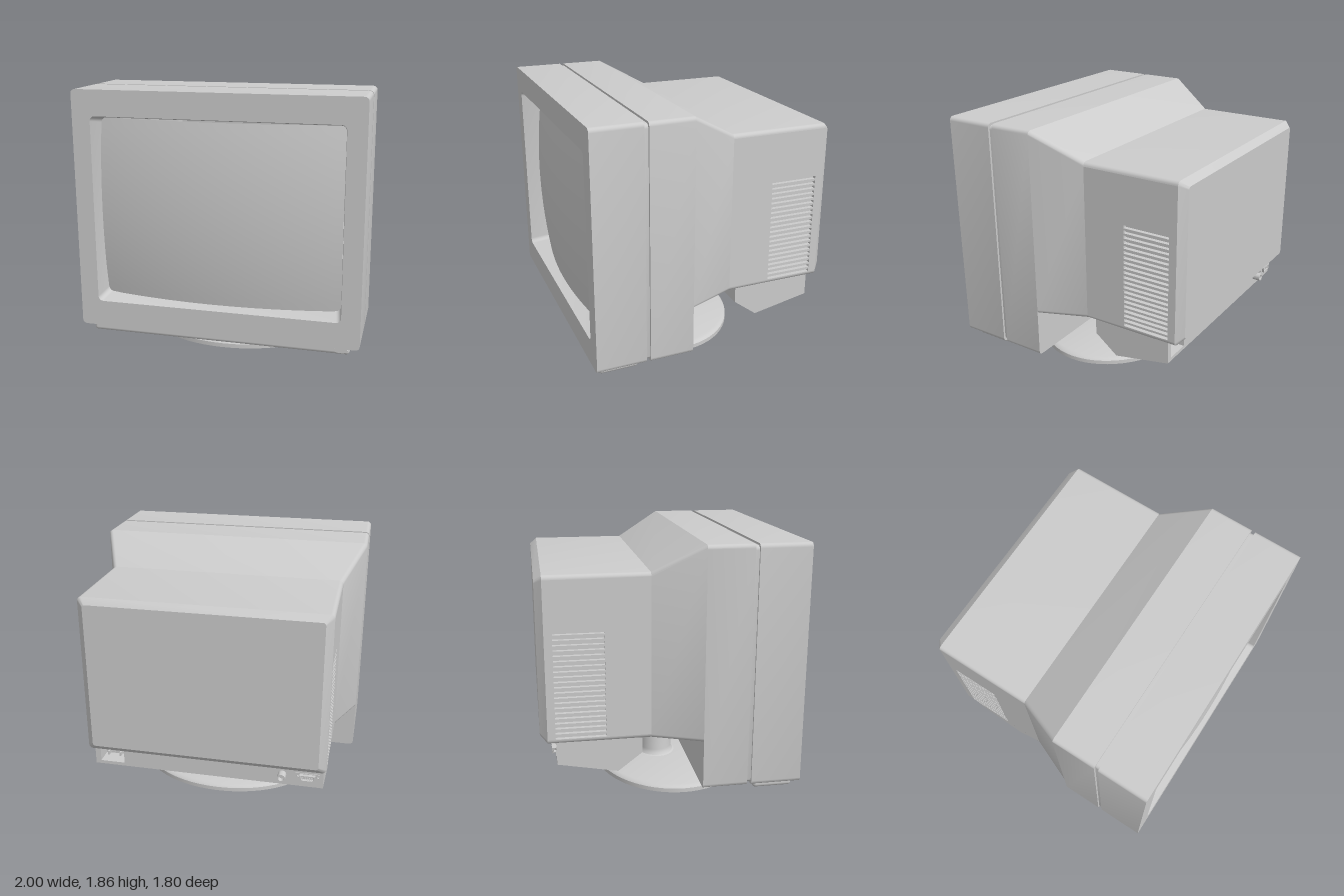
import * as THREE from 'three';
import { toCreasedNormals } from 'three/addons/utils/BufferGeometryUtils.js';
import { RoundedBoxGeometry } from 'three/addons/geometries/RoundedBoxGeometry.js';

const material = new THREE.MeshStandardMaterial({ color: 0xcccccc, side: THREE.DoubleSide });
const CORNER = 6; // segments per rounded corner

function add(parent, name, geometry, x = 0, y = 0, z = 0) {
  const mesh = new THREE.Mesh(geometry, material);
  mesh.name = name;
  mesh.position.set(x, y, z);
  parent.add(mesh);
  return mesh;
}

// Rounded rectangle outline, counterclockwise from the bottom right corner
function ring(hw, y0, y1, r) {
  const centres = [[hw - r, y0 + r], [hw - r, y1 - r], [r - hw, y1 - r], [r - hw, y0 + r]];
  return centres.flatMap(([cx, cy], k) => Array.from({ length: CORNER + 1 }, (_, i) => {
    const a = (k - 1 + i / CORNER) * Math.PI / 2;
    return new THREE.Vector2(cx + r * Math.cos(a), cy + r * Math.sin(a));
  }));
}

// Skin over sections { z, hw, y0, y1, r }; openSides leaves the flat flanks out
function loft(sections) {
  const pos = [], index = [], n = 4 * (CORNER + 1);
  sections.forEach((s, i) => {
    for (const p of ring(s.hw, s.y0, s.y1, s.r)) pos.push(p.x, p.y, s.z);
    if (i === sections.length - 1) return;
    for (let j = 0; j < n; j++) {
      if (s.openSides && (j === CORNER || j === 3 * CORNER + 2)) continue;
      const a = i * n + j, b = i * n + (j + 1) % n;
      index.push(a, a + n, b + n, a, b + n, b);
    }
  });
  const g = new THREE.BufferGeometry();
  g.setAttribute('position', new THREE.Float32BufferAttribute(pos, 3));
  g.setIndex(index);
  return toCreasedNormals(g, 0.5);
}

const section = (z, hw, y0, y1, r = 0.03, openSides = false) => ({ z, hw, y0, y1, r, openSides });
const polygon = (points) => new THREE.Shape(points.map(([x, y]) => new THREE.Vector2(x, y)));

// Extrude a side profile, drawn as (-z, y), from x0 to x1
function acrossX(shape, x0, x1) {
  const g = new THREE.ExtrudeGeometry(shape, { depth: x1 - x0, bevelEnabled: false });
  return g.rotateY(Math.PI / 2).translate(x0, 0, 0);
}

function rectPath(x0, y0, x1, y1) {
  return new THREE.Path([[x0, y0], [x1, y0], [x1, y1], [x0, y1]].map(([x, y]) => new THREE.Vector2(x, y)));
}

function buildCasing(group) {
  // Bezel, seam groove and tapering rear housing in one skin
  add(group, 'housing', loft([
    section(0.9, 1, 0.165, 1.86),
    section(0.545, 1, 0.165, 1.86),
    section(0.545, 0.985, 0.18, 1.845),
    section(0.515, 0.985, 0.18, 1.845),
    section(0.515, 1, 0.165, 1.86),
    section(0.2, 1, 0.165, 1.86),
    section(0.2, 1, 0.51, 1.86),
    section(-0.14, 0.86, 0.51, 1.67, 0.03, true),
    section(-0.85, 0.86, 0.51, 1.67),
    section(-0.9, 0.81, 0.56, 1.63, 0.02),
    section(-0.9, 0, 1.09, 1.09, 0),
  ]));

  // Bezel face with the screen opening
  const face = new THREE.Shape(ring(1, 0.165, 1.86, 0.03));
  face.holes.push(new THREE.Path(ring(0.87, 0.35, 1.68, 0.035)));
  add(group, 'bezelFace', new THREE.ShapeGeometry(face), 0, 0, 0.9);
  add(group, 'screenSurround', loft([
    section(0.73, 0.85, 0.375, 1.65, 0.035),
    section(0.9, 0.87, 0.35, 1.68, 0.035),
  ]));

  // Bulging glass
  const glass = new THREE.PlaneGeometry(1.71, 1.285, 32, 24);
  const p = glass.attributes.position;
  for (let i = 0; i < p.count; i++) p.setZ(i, -(p.getX(i) ** 2 + p.getY(i) ** 2) / 8);
  glass.computeVertexNormals();
  add(group, 'screen', glass, 0, 1.0125, 0.885);

  // Flanks with ventilation slots
  const flank = polygon([[0.14, 0.54], [0.85, 0.54], [0.85, 1.64], [0.14, 1.64]]);
  for (let i = 0; i < 21; i++) {
    const y = 0.545 + i * 0.0365;
    flank.holes.push(rectPath(0.45, y, 0.795, y + 0.021));
  }
  for (const s of [-1, 1]) {
    add(group, s > 0 ? 'leftVentPanel' : 'rightVentPanel',
      s > 0 ? acrossX(flank, 0.83, 0.86) : acrossX(flank, -0.86, -0.83));
    add(group, 'ventBacking', new THREE.BoxGeometry(0.01, 0.85, 0.4), s * 0.825, 0.93, -0.62);
  }
}

function buildConnectorBay(group) {
  const top = [[0.79, 0.52], [0.2, 0.52], [0.2, 0.4], [0.37, 0.27], [0.79, 0.35]];
  const solid = polygon(top);
  const notched = polygon([...top, [0.79, 0.375], [0.67, 0.375], [0.67, 0.48], [0.79, 0.48]]);
  add(group, 'connectorBay', acrossX(solid, -0.84, 0.62));
  add(group, 'powerSocket', acrossX(notched, 0.62, 0.8));
  add(group, 'connectorBayEnd', acrossX(solid, 0.8, 0.84));
  for (const [dx, dy] of [[-0.045, -0.01], [0, 0.015], [0.045, -0.01]]) {
    add(group, 'powerPin', new THREE.BoxGeometry(0.012, 0.03, 0.08), 0.71 + dx, 0.428 + dy, -0.71);
  }

  // Round connector
  const profile = [[0, 0], [0.03, 0], [0.03, 0.06], [0.02, 0.06], [0.02, 0.025], [0, 0.025]];
  const round = new THREE.LatheGeometry(profile.map(([x, y]) => new THREE.Vector2(x, y)), 24);
  round.rotateX(-Math.PI / 2);
  add(group, 'roundConnector', toCreasedNormals(round, 0.5), -0.55, 0.43, -0.79);

  // Trapezoid signal connector with its pins and screws
  const trapezoid = (k) => [[-0.045, -0.022], [0.045, -0.022], [0.055, 0.022], [-0.055, 0.022]]
    .map(([x, y]) => [x - Math.sign(x) * k, y - Math.sign(y) * k]);
  const shell = polygon(trapezoid(0));
  shell.holes.push(polygon(trapezoid(0.006)));
  add(group, 'signalConnector',
    new THREE.ExtrudeGeometry(shell, { depth: 0.03, bevelEnabled: false }), -0.73, 0.43, -0.82);
  add(group, 'connectorPlate', new THREE.BoxGeometry(0.17, 0.055, 0.008), -0.73, 0.43, -0.792);
  for (let row = -1; row <= 1; row++) {
    for (let i = -2; i <= 2; i++) {
      add(group, 'signalPin', new THREE.BoxGeometry(0.004, 0.004, 0.02),
        -0.73 + i * 0.016, 0.43 + row * 0.011, -0.803);
    }
  }
  for (const s of [-1, 1]) {
    const screw = new THREE.CylinderGeometry(0.011, 0.011, 0.02, 6).rotateX(Math.PI / 2);
    add(group, 'connectorScrew', screw, -0.73 + s * 0.07, 0.43, -0.8);
  }
}

function buildControls(group) {
  add(group, 'controlStrip', new RoundedBoxGeometry(1.86, 0.1, 0.285, 3, 0.025), 0, 0.155, 0.7225);
  const button = new THREE.CylinderGeometry(1, 1, 0.02, 32).rotateX(Math.PI / 2);
  add(group, 'powerButton', button, 0.87, 0.14, 0.862).scale.set(0.05, 0.018, 1);
}

function buildStand(group) {
  const lathe = (points) => toCreasedNormals(
    new THREE.LatheGeometry(points.map(([x, y]) => new THREE.Vector2(x, y)), 64), 0.5);
  const base = lathe([[0, 0], [0.585, 0], [0.585, 0.03], [0.575, 0.042], [0.555, 0.05], [0, 0.05]]);
  add(group, 'standBase', base, 0, 0, 0.135).scale.x = 1.22;
  const neck = lathe([[0.158, 0.048], [0.142, 0.055], [0.132, 0.07], [0.127, 0.095], [0.127, 0.52]]);
  add(group, 'standNeck', neck, 0, 0, 0.03).scale.x = 1.14;
}

export function createModel() {
  const model = new THREE.Group();
  model.name = 'deskMonitor';
  const builders = { casing: buildCasing, rearConnectors: buildConnectorBay, controls: buildControls, stand: buildStand };
  for (const [name, build] of Object.entries(builders)) {
    const group = new THREE.Group();
    group.name = name;
    build(group);
    model.add(group);
  }
  return model;
}
